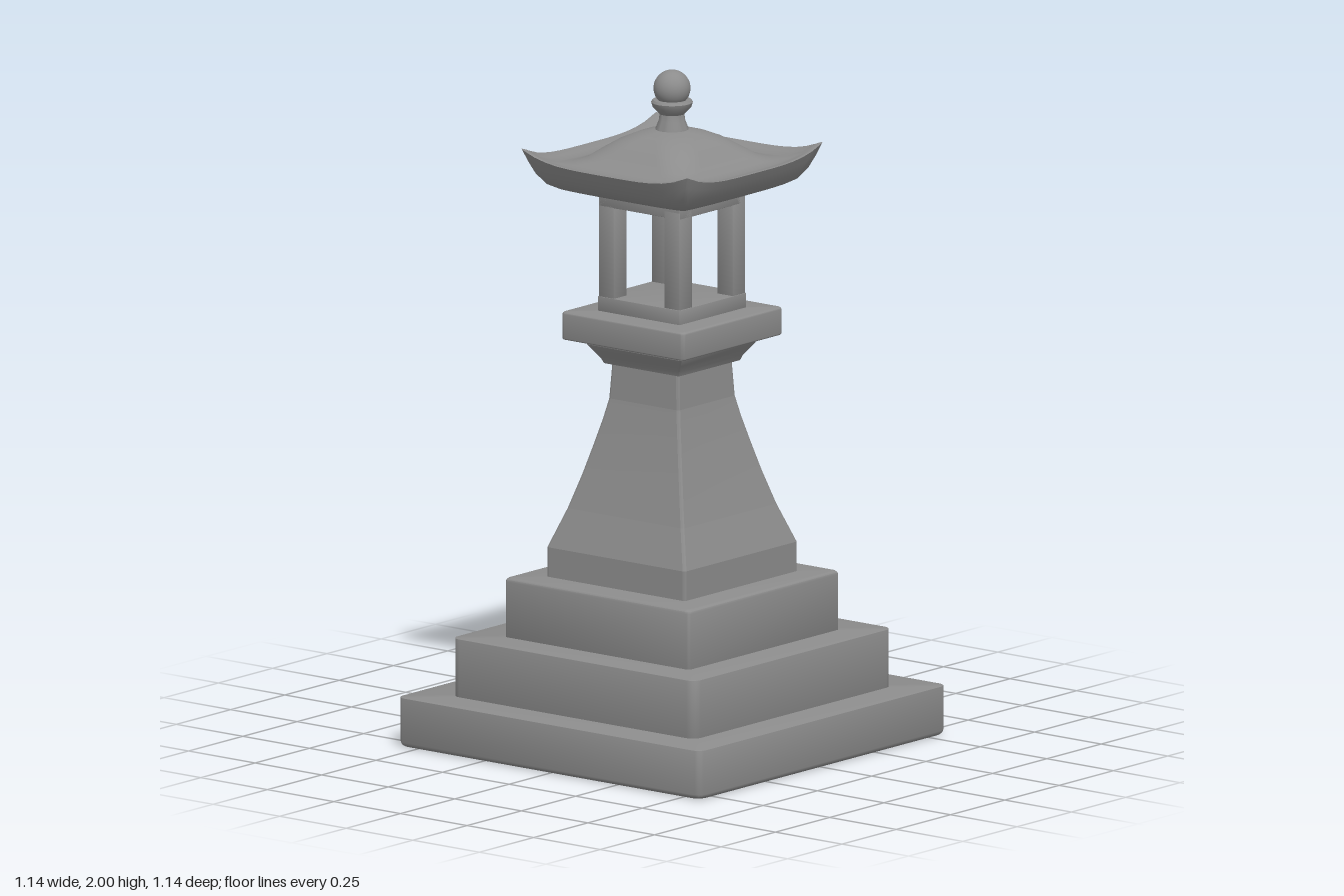
import * as THREE from 'three';
import { toCreasedNormals } from 'three/addons/utils/BufferGeometryUtils.js';

const stone = new THREE.MeshStandardMaterial({ color: 0x8c8c8c });
stone.name = 'grey stone';

// Outline of a rounded square; edges are subdivided so corners can be lifted.
function ring([half, y, radius = 0, lift = 0], edgeSegs, arcSegs) {
  const pts = [];
  const r = Math.min(radius, half), s = half - r;
  for (let side = 0; side < 4; side++) {
    const a0 = side * Math.PI / 2, c = Math.cos(a0), n = Math.sin(a0);
    const add = (u, v) => {
      const k = half > 0 ? Math.min(Math.abs(u), Math.abs(v)) / half : 0;
      pts.push([u * c - v * n, y + lift * k ** 4, u * n + v * c]);
    };
    for (let i = 0; i < edgeSegs; i++) add(half, -s + 2 * s * i / edgeSegs);
    for (let i = 0; i < arcSegs; i++) {
      const a = i / arcSegs * Math.PI / 2;
      add(s + r * Math.cos(a), s + r * Math.sin(a));
    }
  }
  return pts;
}

// Skin through square rings given bottom to top as [half width, y, corner radius, corner lift].
function squareLoft(name, rows, { edgeSegs = 1, arcSegs = 5, crease = 0.6 } = {}) {
  const rings = rows.map(row => ring(row, edgeSegs, arcSegs));
  const n = rings[0].length, index = [];
  for (let i = 0; i < rings.length - 1; i++) {
    for (let j = 0; j < n; j++) {
      const a = i * n + j, b = i * n + (j + 1) % n, c = a + n, d = b + n;
      index.push(a, c, b, b, c, d);
    }
  }
  const geo = new THREE.BufferGeometry();
  geo.setAttribute('position', new THREE.Float32BufferAttribute(rings.flat(2), 3));
  geo.setIndex(index);
  const mesh = new THREE.Mesh(toCreasedNormals(geo, crease), stone);
  mesh.name = name;
  return mesh;
}

// Square block with separate softening of its lower and upper edges.
function block(name, half, y0, y1, radius, low, high) {
  const rows = [[0, y0]];
  for (let i = 0; i <= 3; i++) {
    const a = i / 3 * Math.PI / 2;
    rows.push([half - low * (1 - Math.sin(a)), y0 + low * (1 - Math.cos(a)), radius]);
  }
  for (let i = 0; i <= 3; i++) {
    const a = i / 3 * Math.PI / 2;
    rows.push([half - high * (1 - Math.cos(a)), y1 - high * (1 - Math.sin(a)), radius]);
  }
  rows.push([0, y1]);
  return squareLoft(name, rows);
}

export function createModel() {
  const model = new THREE.Group();
  model.name = 'stoneLantern';

  // Stepped base
  model.add(
    block('lowerStep', 0.57, 0, 0.147, 0.03, 0.015, 0.001),
    block('middleStep', 0.457, 0.14, 0.32, 0.03, 0.001, 0.001),
    block('upperStep', 0.348, 0.315, 0.497, 0.015, 0.001, 0.012),
  );

  // Flared shaft and the moulding above it
  model.add(squareLoft('shaft', [
    [0, 0.49], [0.26, 0.49, 0.008], [0.26, 0.585, 0.008], [0.218, 0.7, 0.008],
    [0.188, 0.8, 0.008], [0.164, 0.89, 0.008], [0.145, 0.965, 0.008],
    [0.132, 1.025, 0.008], [0.125, 1.14, 0.008], [0, 1.14],
  ], { crease: 0.05, arcSegs: 2 }));
  model.add(squareLoft('collar', [
    [0, 1.13], [0.142, 1.13, 0.004], [0.148, 1.145, 0.004], [0.162, 1.165, 0.004],
    [0.177, 1.187, 0.004], [0.177, 1.21, 0.004], [0, 1.21],
  ], { arcSegs: 2 }));
  model.add(block('platform', 0.23, 1.203, 1.287, 0.012, 0.005, 0.008));

  // Open light chamber
  const chamber = new THREE.Group();
  chamber.name = 'lightChamber';
  chamber.add(block('sill', 0.154, 1.28, 1.33, 0.003, 0.001, 0.001));
  chamber.add(block('lintel', 0.152, 1.6, 1.655, 0.003, 0.001, 0.001));
  for (const x of [-1, 1]) for (const z of [-1, 1]) {
    const post = block('post', 0.029, 1.31, 1.62, 0.002, 0.001, 0.001);
    post.position.set(x * 0.123, 0, z * 0.123);
    chamber.add(post);
  }
  model.add(chamber);

  // Curved roof with upturned corners
  model.add(squareLoft('roof', [
    [0, 1.643], [0.2, 1.643, 0.01], [0.235, 1.65, 0.01, 0.003],
    [0.262, 1.663, 0.01, 0.006], [0.285, 1.687, 0.01, 0.014],
    [0.302, 1.714, 0.01, 0.028], [0.314, 1.737, 0.01, 0.04],
    [0.305, 1.738, 0.015, 0.036], [0.285, 1.73, 0.03, 0.022],
    [0.255, 1.725, 0.04, 0.01], [0.225, 1.73, 0.06], [0.195, 1.744, 0.07],
    [0.165, 1.77, 0.08], [0.13, 1.795, 0.075], [0.095, 1.812, 0.07],
    [0.05, 1.824, 0.05], [0, 1.828],
  ], { edgeSegs: 14, arcSegs: 5, crease: 0.8 }));

  // Turned finial with a ball on top
  const profile = [
    [0, 1.81], [0.05, 1.81], [0.048, 1.827], [0.039, 1.85], [0.036, 1.87],
    [0.042, 1.876], [0.056, 1.89], [0.061, 1.905], [0.056, 1.912], [0, 1.912],
  ].map(p => new THREE.Vector2(...p));
  const finial = new THREE.Mesh(toCreasedNormals(new THREE.LatheGeometry(profile, 32), 0.6), stone);
  finial.name = 'finial';
  const ball = new THREE.Mesh(new THREE.SphereGeometry(0.054, 32, 20), stone);
  ball.name = 'finialBall';
  ball.position.y = 1.946;
  model.add(finial, ball);

  return model;
}
